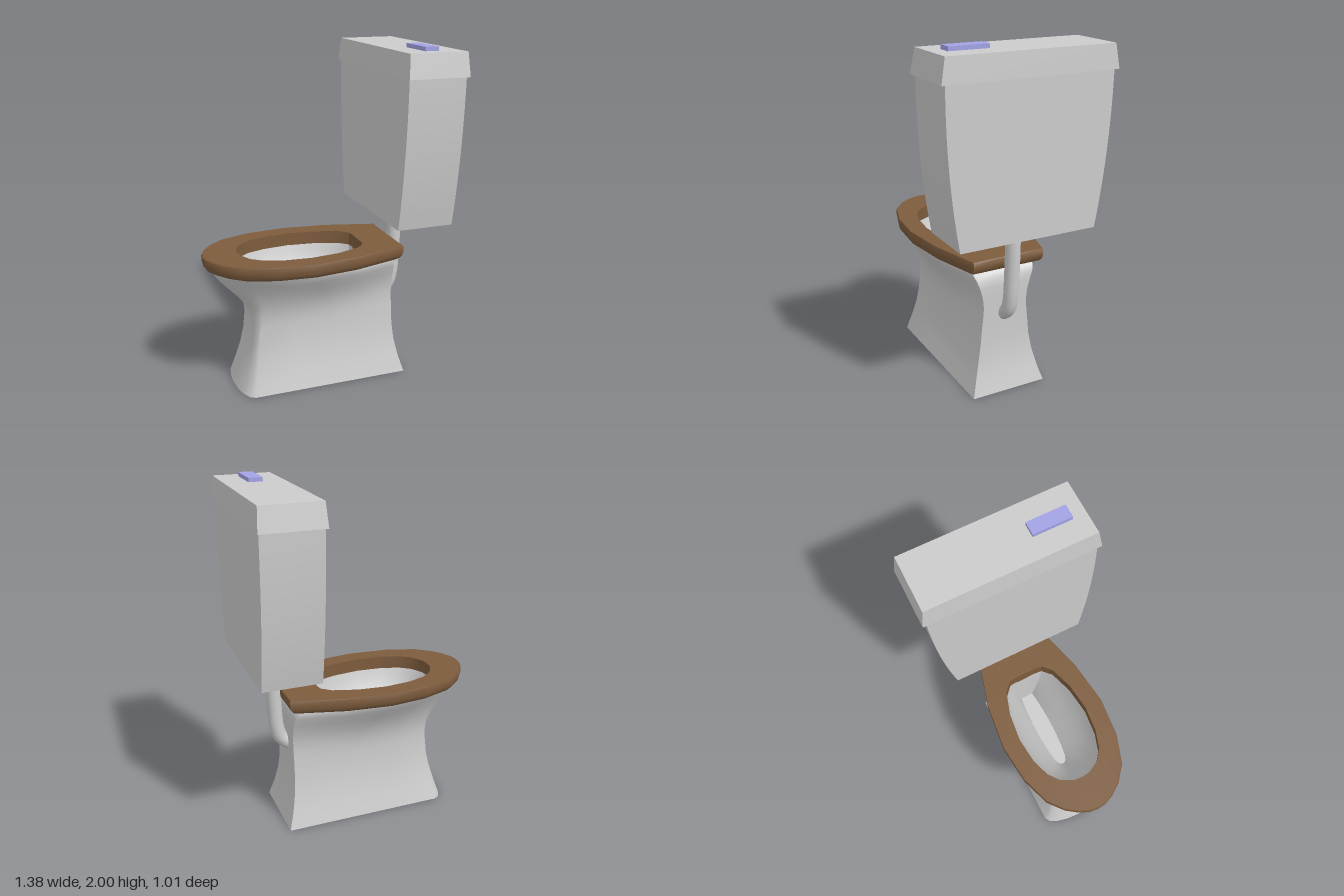
import * as THREE from 'three';
import { toCreasedNormals } from 'three/addons/utils/BufferGeometryUtils.js';

const grey = new THREE.MeshStandardMaterial({ color: 0xcccccc });
const brown = new THREE.MeshStandardMaterial({ color: 0x7d5c3d });
const blue = new THREE.MeshStandardMaterial({ color: 0xa3a3e6 });
const { lerp, clamp } = THREE.MathUtils;

// Half outlines [x, z] from the front tip to the back
const SEAT = [[-0.69, 0], [-0.685, 0.05], [-0.66, 0.11], [-0.61, 0.18], [-0.52, 0.253],
  [-0.345, 0.312], [-0.11, 0.335], [0.17, 0.302], [0.47, 0.22], [0.47, 0.09]];
const HOLE = [[-0.485, 0], [-0.48, 0.05], [-0.44, 0.125], [-0.375, 0.175], [-0.265, 0.21],
  [-0.11, 0.225], [0.06, 0.205], [0.2, 0.16], [0.255, 0.11], [0.26, 0.06]];
const FLOOR = [[-0.265, 0], [-0.262, 0.012], [-0.25, 0.025], [-0.22, 0.036], [-0.15, 0.046],
  [-0.05, 0.053], [0.06, 0.054], [0.16, 0.049], [0.26, 0.04], [0.26, 0.02]];

// Mirrored closed ring at height y
function ring(half, y) {
  const back = half.slice(1).reverse().map(([x, z]) => [x, -z]);
  return [...half, ...back].map(([x, z]) => [x, y, z]);
}
const point = (x, y) => ring(SEAT.map(() => [x, 0]), y);
const scaled = (half, s) => half.map(([x, z]) => [-0.11 + (x + 0.11) * s, z * s]);

// Skin a list of rings, leaving out triangles that collapse at a point ring
function loft(rings, crease = 0.7) {
  const n = rings[0].length, verts = rings.flat(), index = [];
  const same = (a, b) => verts[a].every((v, k) => v === verts[b][k]);
  for (let j = 0; j < rings.length - 1; j++) {
    for (let i = 0; i < n; i++) {
      const a = j * n + i, b = j * n + (i + 1) % n;
      if (!same(a, b)) index.push(a, b, b + n);
      if (!same(a + n, b + n)) index.push(a, b + n, a + n);
    }
  }
  const g = new THREE.BufferGeometry();
  g.setAttribute('position', new THREE.Float32BufferAttribute(verts.flat(), 3));
  g.setIndex(index);
  return toCreasedNormals(g, crease);
}

// Pedestal section: straight sides with a bowed front, blending into the seat's oval
function section([y, xf, xc, xb, w, wb, t]) {
  const half = SEAT.map(([sx, sz], k) => {
    let x, z;
    if (k <= 4) {
      const a = k / 4 * Math.PI / 2;
      x = xc - (xc - xf) * Math.cos(a);
      z = w * Math.sin(a);
    } else {
      const f = Math.min(1, (k - 4) / 4);
      x = lerp(xc, xb, f);
      z = k === 9 ? wb * 0.4 : lerp(w, wb, f);
    }
    const ox = xf + (sx + 0.69) / 1.16 * (xb - xf), oz = sz / 0.335 * w;
    return [lerp(x, ox, t), lerp(z, oz, t)];
  });
  return ring(half, y);
}

// Box whose vertices are scaled in x and z by a rule of height
function shapedBox(w, h, d, segs, rule) {
  const g = new THREE.BoxGeometry(w, h, d, 1, segs, 1), p = g.attributes.position;
  for (let i = 0; i < p.count; i++) {
    const [sx, sz] = rule(clamp(p.getY(i) / h + 0.5, 0, 1));
    p.setX(i, p.getX(i) * sx);
    p.setZ(i, p.getZ(i) * sz);
  }
  return toCreasedNormals(g, 0.5);
}

export function createModel() {
  const model = new THREE.Group();
  const add = (name, geometry, material, x = 0, y = 0, z = 0) => {
    const mesh = new THREE.Mesh(geometry, material);
    mesh.name = name;
    mesh.position.set(x, y, z);
    model.add(mesh);
  };

  // Pedestal rows: y, front x, corner x, back x, half width, back half width, oval blend
  const rows = [
    [0, -0.535, -0.455, 0.495, 0.23, 0.23, 0],
    [0.1, -0.5, -0.437, 0.466, 0.2, 0.2, 0],
    [0.2, -0.468, -0.42, 0.446, 0.175, 0.175, 0],
    [0.3, -0.446, -0.407, 0.437, 0.159, 0.157, 0],
    [0.4, -0.436, -0.4, 0.435, 0.153, 0.148, 0],
    [0.46, -0.44, -0.4, 0.435, 0.158, 0.145, 0.1],
    [0.52, -0.462, -0.41, 0.435, 0.176, 0.146, 0.3],
    [0.58, -0.51, -0.43, 0.435, 0.205, 0.152, 0.55],
    [0.64, -0.57, -0.45, 0.434, 0.24, 0.162, 0.8],
    [0.69, -0.615, -0.47, 0.43, 0.27, 0.175, 0.95],
    [0.72, -0.633, -0.48, 0.412, 0.287, 0.185, 1],
    [0.745, -0.64, -0.48, 0.36, 0.297, 0.19, 1],
  ];
  add('pedestal', loft([point(0, 0), ...rows.map(section)]), grey);

  // Bowl interior, curving down to a narrow floor
  const bowl = [];
  for (let j = 0; j <= 8; j++) {
    const a = j / 8, f = lerp(a, 1 - Math.cos(a * Math.PI / 2), 0.5);
    const half = HOLE.map(([x, z], k) => [lerp(x, FLOOR[k][0], f), lerp(z, FLOOR[k][1], f)]);
    bowl.push(ring(half, 0.75 - 0.33 * a));
  }
  add('bowlInterior', loft([...bowl, point(0, 0.42)], 0.6), grey);

  // Seat with a rounded lower edge
  const under = ring(scaled(SEAT, 0.93), 0.742);
  add('seat', loft([
    under,
    ring(scaled(SEAT, 0.965), 0.752),
    ring(scaled(SEAT, 0.99), 0.77),
    ring(SEAT, 0.792),
    ring(SEAT, 0.822),
    ring(scaled(SEAT, 0.993), 0.828),
    ring(HOLE, 0.828),
    ring(HOLE, 0.742),
    under,
  ], 0.6), brown);

  // Cistern with bowed tapering ends, lid and flush button
  add('cistern', shapedBox(0.336, 0.86, 0.96, 10,
    (t) => [1, 1 - 0.156 * (1 - t) ** 2.1]), grey, 0.508, 1.425, 0);
  add('cisternLid', shapedBox(0.356, 0.132, 1.006, 1,
    (t) => [1 - 0.05 * t, 1 - 0.045 * t]), grey, 0.508, 1.911, 0);
  add('flushButton', new THREE.BoxGeometry(0.08, 0.03, 0.226), blue, 0.506, 1.985, 0.287);

  // Flush pipe from the cistern into the back of the pedestal
  const path = new THREE.CatmullRomCurve3([[0.506, 1.01], [0.505, 0.85], [0.5, 0.7], [0.493, 0.59],
    [0.473, 0.515], [0.435, 0.475], [0.4, 0.455]].map(([x, y]) => new THREE.Vector3(x, y, 0)));
  add('flushPipe', new THREE.TubeGeometry(path, 28, 0.043, 16), grey);

  return model;
}
